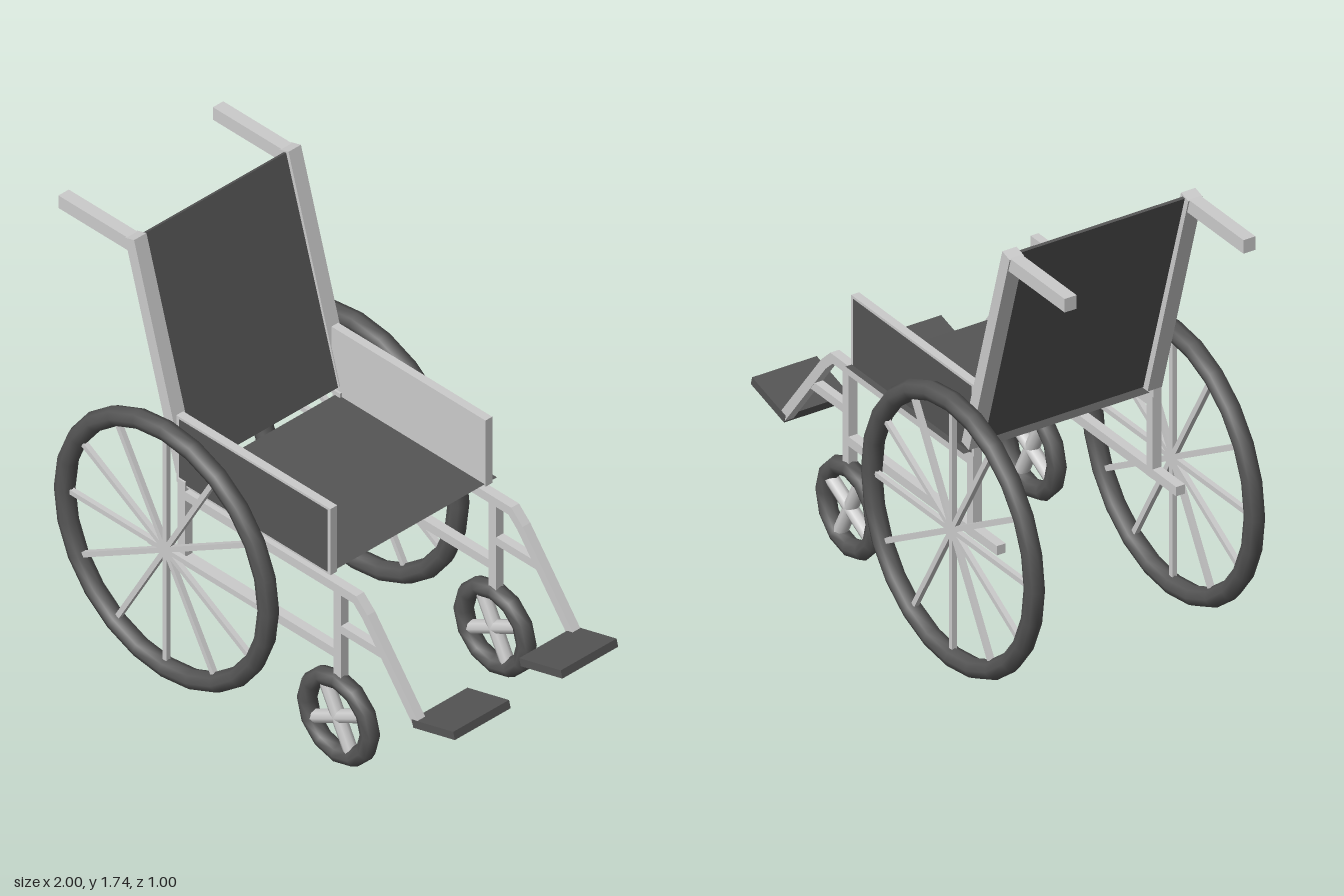
import * as THREE from 'three';

const grey = new THREE.MeshStandardMaterial({ color: 0xcccccc });
const dark = new THREE.MeshStandardMaterial({ color: 0x555555, side: THREE.DoubleSide });
const rubber = new THREE.MeshStandardMaterial({ color: 0x555555 });

function add(parent, name, geometry, material, x = 0, y = 0, z = 0) {
  const mesh = new THREE.Mesh(geometry, material);
  mesh.name = name;
  mesh.position.set(x, y, z);
  parent.add(mesh);
  return mesh;
}

// Square bar between two points of a side plane
function bar(parent, name, [x1, y1], [x2, y2], z, width, depth = width, material = grey) {
  const length = Math.hypot(x2 - x1, y2 - y1);
  const geometry = new THREE.BoxGeometry(length, width, depth);
  const mesh = add(parent, name, geometry, material, (x1 + x2) / 2, (y1 + y2) / 2, z);
  mesh.rotation.z = Math.atan2(y2 - y1, x2 - x1);
  return mesh;
}

// Square tube swept along a polyline with mitred corners
function mitredTube(parent, name, points, z, width) {
  const path = points.map(p => new THREE.Vector2(...p));
  const offset = path.map((p, i) => {
    const a = path[Math.max(i - 1, 0)], b = path[Math.min(i + 1, path.length - 1)];
    const d1 = (i > 0 ? p.clone().sub(a) : b.clone().sub(p)).normalize();
    const d2 = (i < path.length - 1 ? b.clone().sub(p) : p.clone().sub(a)).normalize();
    const t = d1.clone().add(d2).normalize();
    return new THREE.Vector2(-t.y, t.x).multiplyScalar(width / 2 / t.dot(d1));
  });
  const outline = [
    ...path.map((p, i) => p.clone().add(offset[i])),
    ...path.map((p, i) => p.clone().sub(offset[i])).reverse(),
  ];
  const geometry = new THREE.ExtrudeGeometry(new THREE.Shape(outline), { depth: width, bevelEnabled: false });
  return add(parent, name, geometry, grey, 0, 0, z - width / 2);
}

function rearWheel(z) {
  const wheel = new THREE.Group();
  wheel.name = 'rearWheel';
  wheel.position.set(-0.403, 0.55, z);
  add(wheel, 'rearTyre', new THREE.TorusGeometry(0.509, 0.038, 8, 24), rubber);
  for (let i = 0; i < 6; i++) {
    const spoke = add(wheel, 'rearSpokes', new THREE.BoxGeometry(0.98, 0.02, 0.02), grey);
    spoke.rotation.z = i * Math.PI / 6;
  }
  return wheel;
}

function caster(z) {
  const wheel = new THREE.Group();
  wheel.name = 'caster';
  wheel.position.set(0.4, 0.225, z);
  add(wheel, 'casterTyre', new THREE.TorusGeometry(0.157, 0.036, 8, 12), rubber);
  for (let i = 0; i < 2; i++) {
    const spoke = add(wheel, 'casterSpokes', new THREE.CylinderGeometry(0.027, 0.027, 0.28, 8), grey);
    spoke.rotation.z = 0.48 + i * Math.PI / 2;
  }
  return wheel;
}

// One side of the chair; s is the direction pointing outward
function chairSide(s, frameZ, armZ, postZ, casterZ) {
  const side = new THREE.Group();
  side.name = s > 0 ? 'leftFrame' : 'rightFrame';
  const w = 0.037;

  // Side frame
  mitredTube(side, 'upperRail', [[-0.39, 0.782], [0.495, 0.782], [0.545, 0.735], [0.805, 0.4]], frameZ, w);
  bar(side, 'lowerRail', [-0.54, 0.5], [0.4, 0.5], frameZ, w);
  bar(side, 'rearUpright', [-0.373, 0.48], [-0.373, 0.84], frameZ, w);
  bar(side, 'frontLeg', [0.407, 0.39], [0.407, 0.79], frameZ, w);
  bar(side, 'legBrace', [0.42, 0.615], [0.63, 0.615], frameZ, 0.034);

  // Footrest
  bar(side, 'footrestArm', [0.79, 0.403], [0.84, 0.417], frameZ, 0.03);
  bar(side, 'footplate', [0.785, 0.402], [0.993, 0.458], frameZ - s * 0.115, 0.032, 0.27, rubber);

  // Back post and push handle
  bar(side, 'backPost', [-0.64, 1.735], [-0.385, 0.855], postZ, 0.048, 0.06);
  bar(side, 'pushHandle', [-1, 1.703], [-0.64, 1.703], postZ, 0.054, 0.05);

  // Armrest with a dark outer cover
  add(side, 'armrest', new THREE.BoxGeometry(0.77, 0.285, 0.033), grey, -0.021, 0.956, armZ);
  add(side, 'armrestCover', new THREE.BoxGeometry(0.74, 0.265, 0.004), rubber, -0.02, 0.956, armZ + s * 0.0165);

  side.add(caster(casterZ), rearWheel(s * 0.46));
  return side;
}

export function createModel() {
  const chair = new THREE.Group();
  chair.name = 'wheelchair';

  chair.add(chairSide(1, 0.4, 0.393, 0.38, 0.405));
  chair.add(chairSide(-1, -0.35, -0.357, -0.367, -0.352));

  // Fabric seat and backrest
  const seat = add(chair, 'seat', new THREE.PlaneGeometry(0.74, 0.8), dark, -0.01, 0.822, 0);
  seat.rotation.x = -Math.PI / 2;
  bar(chair, 'backrest', [-0.635, 1.73], [-0.375, 0.855], 0.0075, 0.012, 0.69, rubber);

  return chair;
}
